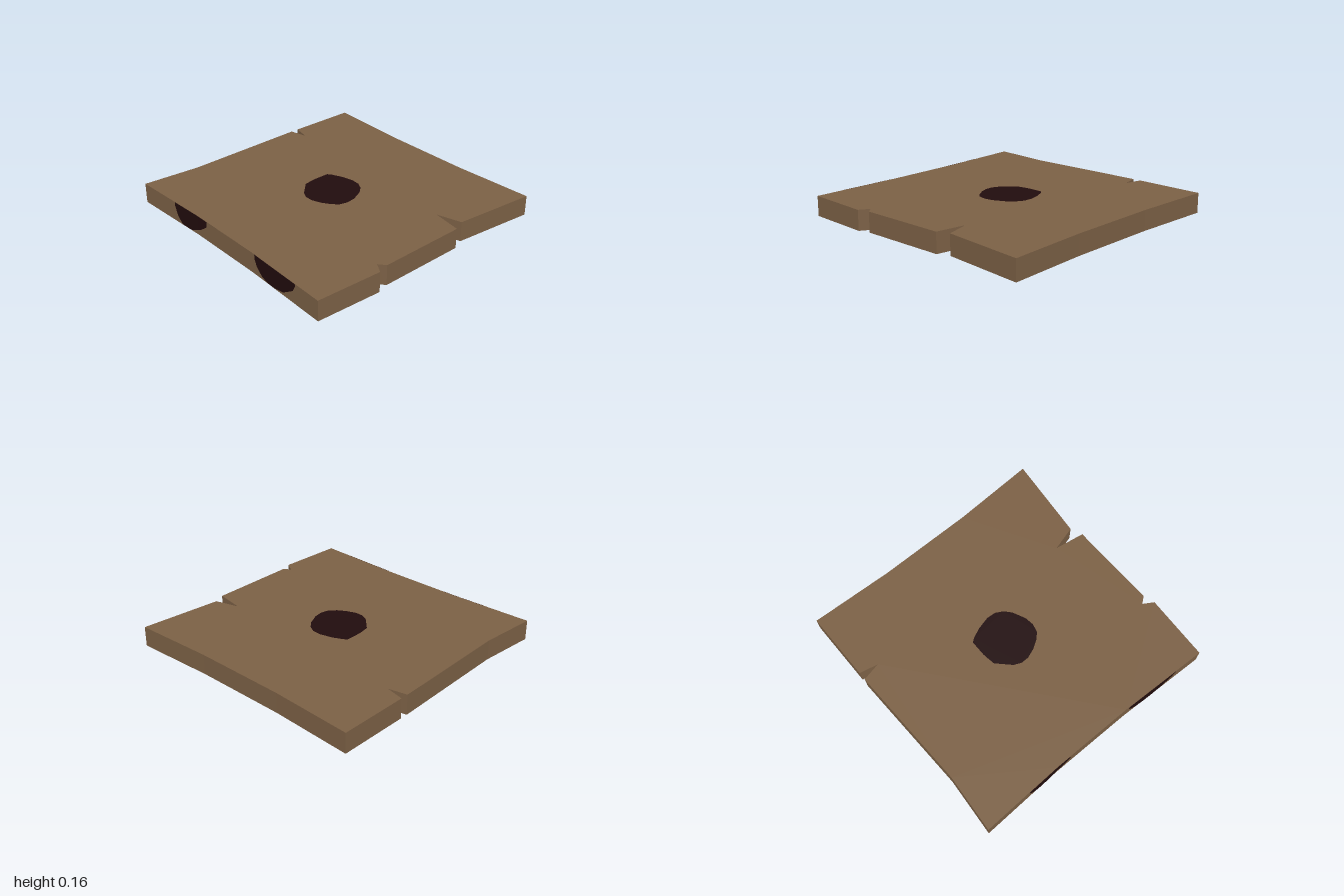
import * as THREE from 'three';

const HEIGHT = 0.153;
const LIFT = 0.002;

// Plan points are [x, z]; the result lies flat with its face up
function planShape(points) {
  return new THREE.Shape(points.map(([x, z]) => new THREE.Vector2(x, -z)));
}

// x of the bowed left-hand edge at a given z
function sideX(z) {
  if (z < -0.36) return THREE.MathUtils.mapLinear(z, -1, -0.36, -0.99, -0.965);
  if (z > 0.28) return THREE.MathUtils.mapLinear(z, 0.28, 0.975, -0.965, -0.99);
  return -0.965;
}

// Strip hanging from the top edge of the side; columns are [z, lower y]
function sideKnotGeometry(columns) {
  const pos = [], index = [];
  columns.forEach(([z, y], i) => {
    const x = sideX(z) - LIFT;
    pos.push(x, HEIGHT, z, x, y, z);
    if (i > 0) {
      const a = 2 * (i - 1);
      index.push(a, a + 1, a + 2, a + 2, a + 1, a + 3);
    }
  });
  const g = new THREE.BufferGeometry();
  g.setAttribute('position', new THREE.Float32BufferAttribute(pos, 3));
  g.setIndex(index);
  g.computeVertexNormals();
  return g;
}

export function createModel() {
  const group = new THREE.Group();
  const wood = new THREE.MeshStandardMaterial({ color: 0x7b6045 });
  wood.name = 'wood';
  const dark = new THREE.MeshStandardMaterial({ color: 0x210c0d, side: THREE.DoubleSide });
  dark.name = 'darkKnot';

  const add = (name, geometry, material) => {
    const mesh = new THREE.Mesh(geometry, material);
    mesh.name = name;
    group.add(mesh);
    return mesh;
  };

  // Board with bowed edges and split notches
  const outline = [
    [-0.99, -1], [-0.55, -0.968], [0.4, -1], [0.43, -0.86], [0.46, -1], [0.985, -1],
    [0.957, -0.37], [0.957, 0.35], [0.985, 0.975],
    [0.355, 0.917], [0.302, 0.73], [0.265, 0.955], [-0.405, 0.968], [-0.445, 0.917],
    [-0.492, 0.995], [-0.99, 0.975], [-0.965, 0.28], [-0.965, -0.36],
  ];
  const slab = new THREE.ExtrudeGeometry(planShape(outline), { depth: HEIGHT, bevelEnabled: false });
  slab.rotateX(-Math.PI / 2);
  add('board', slab, wood);

  // Irregular knot, on the top and twice underneath
  const knot = [
    [-0.04, -0.225], [-0.1, -0.215], [-0.16, -0.155], [-0.2, -0.115], [-0.225, -0.06],
    [-0.225, 0], [-0.2, 0.07], [-0.16, 0.135], [-0.115, 0.18], [-0.05, 0.195],
    [0.02, 0.185], [0.115, 0.14], [0.165, 0.095], [0.195, 0.04], [0.2, -0.03],
    [0.175, -0.13], [0.14, -0.205], [0.12, -0.23], [0, -0.23],
  ];
  const knotGeometry = new THREE.ShapeGeometry(planShape(knot));
  knotGeometry.rotateX(-Math.PI / 2);
  add('topKnot', knotGeometry, dark).position.y = HEIGHT + LIFT;
  [[0.375, -0.467], [-0.53, 0.56]].forEach(([x, z], i) => {
    add('bottomKnot' + (i + 1), knotGeometry, dark).position.set(x, -LIFT, z);
  });

  // Half knots on one side edge
  add('sideKnotBack', sideKnotGeometry([
    [-0.62, 0.12], [-0.59, 0.05], [-0.54, 0.005], [-0.43, 0.005],
    [-0.36, 0.035], [-0.31, 0.06], [-0.24, 0.11],
  ]), dark);
  add('sideKnotFront', sideKnotGeometry([
    [0.31, 0.12], [0.335, 0.07], [0.39, 0.022], [0.45, 0.005], [0.53, 0.005],
    [0.62, 0.022], [0.725, 0.09], [0.75, 0.14],
  ]), dark);

  return group;
}
